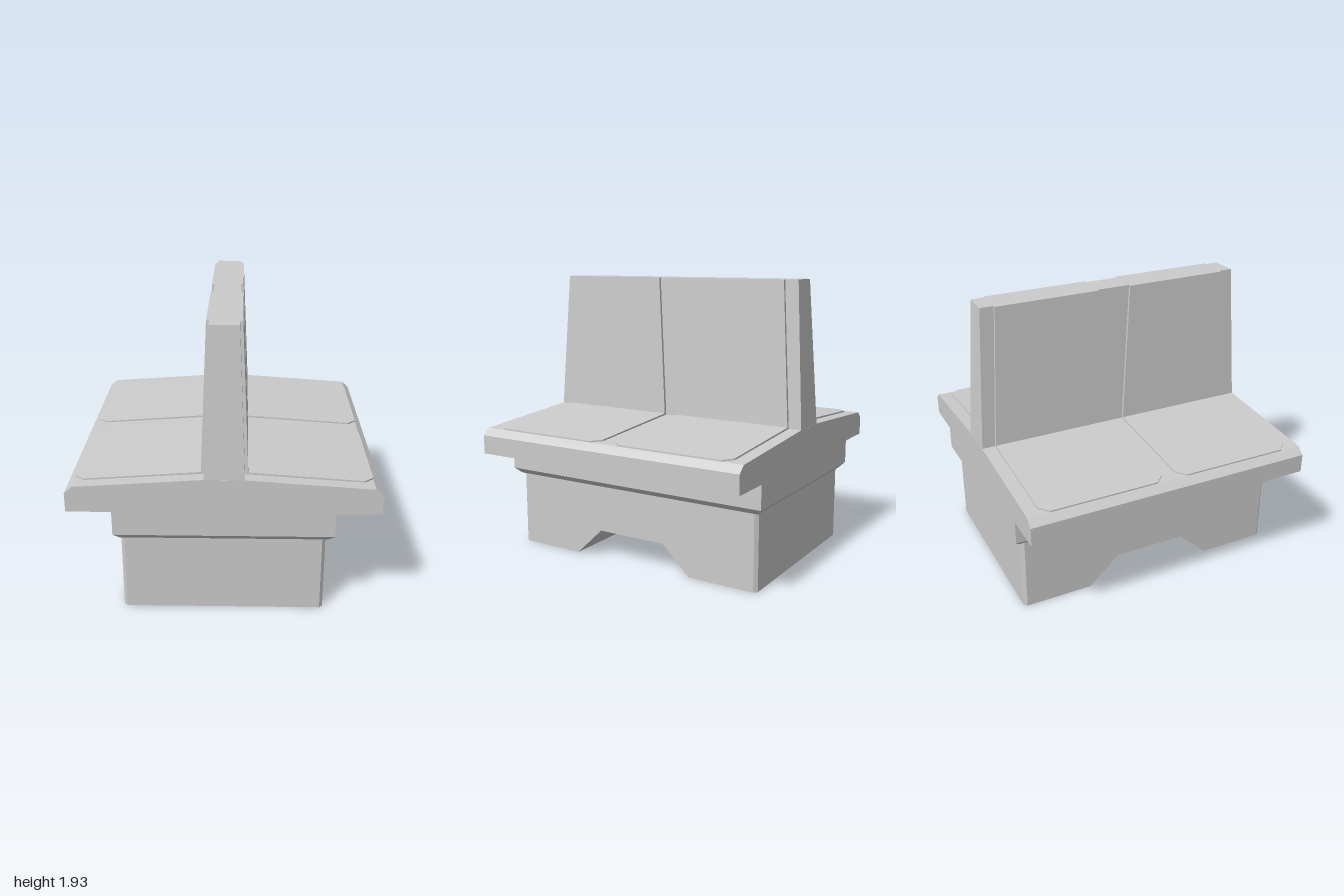
import * as THREE from 'three';

const material = new THREE.MeshStandardMaterial({ color: 0xcccccc, flatShading: true });

function addPart(parent, name, geometry, x = 0, y = 0, z = 0) {
  const mesh = new THREE.Mesh(geometry, material);
  mesh.name = name;
  mesh.position.set(x, y, z);
  parent.add(mesh);
  return mesh;
}

// Move every vertex of a geometry by a rule, then refresh its normals
function reshape(geometry, rule) {
  const pos = geometry.attributes.position;
  const v = new THREE.Vector3();
  for (let i = 0; i < pos.count; i++) {
    v.fromBufferAttribute(pos, i);
    rule(v);
    pos.setXYZ(i, v.x, v.y, v.z);
  }
  geometry.computeVertexNormals();
  return geometry;
}

// Box with different half sizes at bottom (x0, z0) and top (x1, z1)
function taperedBox(x0, z0, x1, z1, y0, y1) {
  return reshape(new THREE.BoxGeometry(2, 2, 2), (v) => {
    const top = v.y > 0;
    v.set(v.x * (top ? x1 : x0), top ? y1 : y0, v.z * (top ? z1 : z0));
  });
}

function polygon(points) {
  return new THREE.Shape(points.map(([x, y]) => new THREE.Vector2(x, y)));
}

// Plinth: side profile with a trapezoid cutout, chamfered at its upright corners
function plinthGeometry() {
  const w = 0.66, d = 0.953, c = 0.022;
  const profile = polygon([
    [-d, 0], [-0.46, 0], [-0.255, 0.195], [0.255, 0.195], [0.46, 0], [d, 0], [d, 0.53], [-d, 0.53],
  ]);
  const geometry = new THREE.ExtrudeGeometry(profile, { depth: 3, steps: 3, bevelEnabled: false });
  geometry.rotateY(Math.PI / 2);
  const layers = [-w, -w + c, w - c, w];
  return reshape(geometry, (v) => {
    const layer = Math.round(v.x);
    v.x = layers[layer];
    if (layer === 0 || layer === 3) v.z = THREE.MathUtils.clamp(v.z, -d + c, d - c);
  });
}

// Seat pad: plate with two clipped outer corners, sloping down away from the backrest
function seatPadGeometry() {
  const inner = 0.12, outer = 0.95, h = 0.43, c = 0.06;
  const outline = polygon([
    [inner, -h], [outer - c, -h], [outer, -h + c], [outer, h - c], [outer - c, h], [inner, h],
  ]);
  const geometry = new THREE.ExtrudeGeometry(outline, { depth: 0.04, bevelEnabled: false });
  geometry.rotateX(-Math.PI / 2);
  return reshape(geometry, (v) => { v.y += 0.87 - (v.x - outer) * 0.0715; });
}

export function createModel() {
  const model = new THREE.Group();
  model.name = 'doubleSidedBench';

  // Base
  const base = new THREE.Group();
  base.name = 'base';
  model.add(base);
  addPart(base, 'plinth', plinthGeometry(), -0.004, 0, 0.004);
  addPart(base, 'skirtBevel', taperedBox(0.67, 0.96, 0.71, 0.998, 0.52, 0.56));
  addPart(base, 'skirt', taperedBox(0.71, 0.998, 0.71, 0.998, 0.56, 0.726));

  // Seat slab with sloping top and chamfered long edges
  const half = [[1, 0.726], [1, 0.855], [0.95, 0.9], [0.13, 0.956]];
  const mirrored = half.map(([x, y]) => [-x, y]).reverse();
  const slab = new THREE.ExtrudeGeometry(polygon([...half, ...mirrored]), { depth: 2, bevelEnabled: false });
  addPart(model, 'seatSlab', slab, 0, 0, -1);

  // Backrest wall
  const backrest = new THREE.Group();
  backrest.name = 'backrest';
  backrest.position.x = 0.005;
  model.add(backrest);
  addPart(backrest, 'backrestCore', taperedBox(0.13, 1, 0.092, 0.937, 0.94, 1.93));

  // Pads for the two places on each side
  const seatPad = seatPadGeometry();
  const backPad = taperedBox(0.15, 0.43, 0.111, 0.363, 0.95, 1.93);
  for (const z of [-0.48, 0.48]) {
    addPart(backrest, 'backrestPads', backPad, 0, 0, z);
    for (const turn of [0, Math.PI]) addPart(model, 'seatPad', seatPad, 0, 0, z).rotation.y = turn;
  }
  return model;
}
